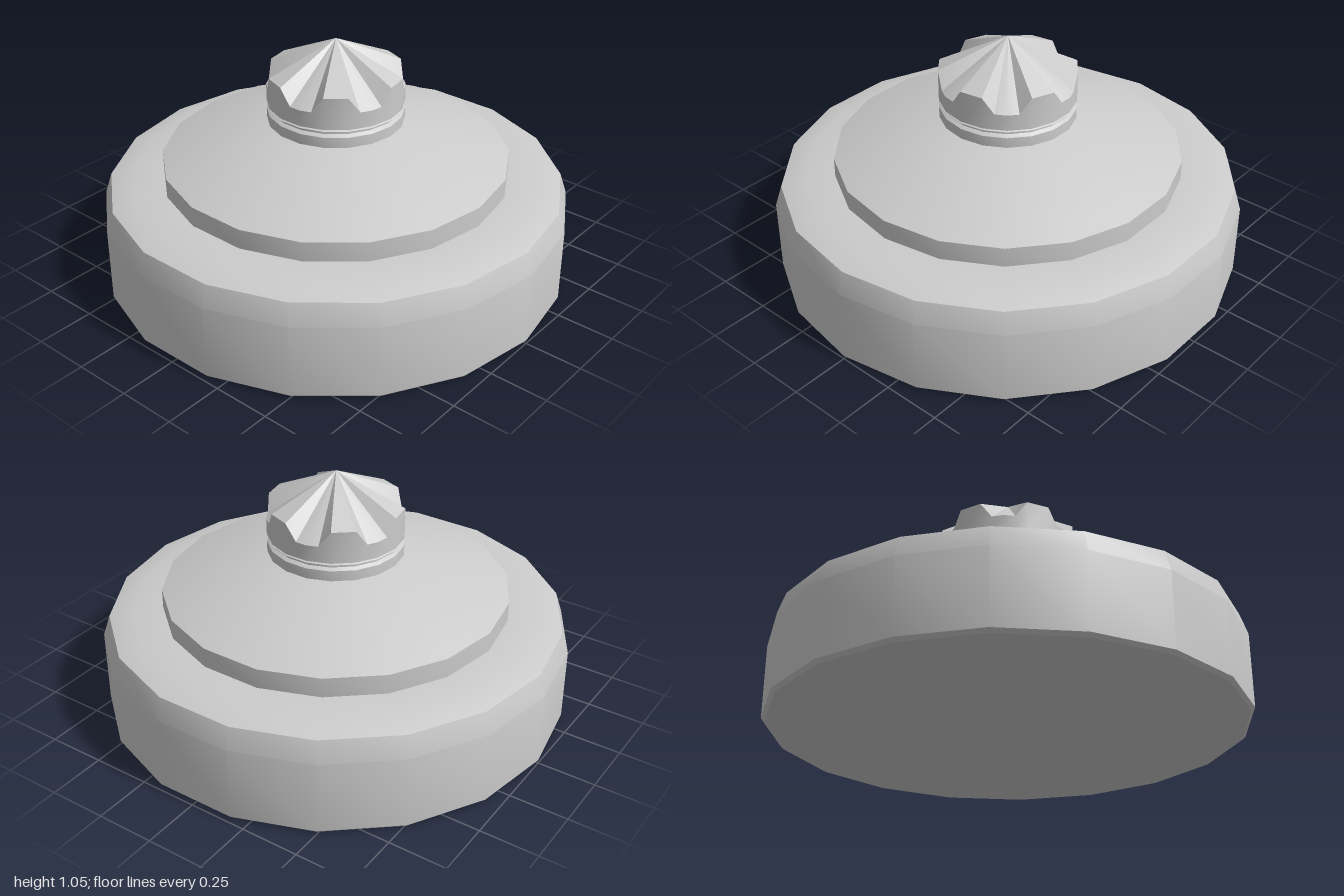
import * as THREE from 'three';
import { toCreasedNormals } from 'three/addons/utils/BufferGeometryUtils.js';

const SIDES = 18;
const CREASE = THREE.MathUtils.degToRad(25);
const material = new THREE.MeshStandardMaterial({ color: 0xcccccc });

function part(name, geometry) {
  const mesh = new THREE.Mesh(toCreasedNormals(geometry, CREASE), material);
  mesh.name = name;
  return mesh;
}

// 18-sided turned part with a corner on the x axis
function turned(name, profile) {
  const points = profile.map(([r, y]) => new THREE.Vector2(r, y));
  return part(name, new THREE.LatheGeometry(points, SIDES, Math.PI / 2));
}

// Knob head: a straight wall whose rim dips into six notches that run to the tip
function notchedHead(radius, bottom, low, high, tip) {
  const rim = [];
  for (let tooth = 0; tooth < 6; tooth++) {
    for (const [deg, y] of [[0, high], [10, low], [20, low], [30, low], [40, high]]) {
      const a = THREE.MathUtils.degToRad(tooth * 60 + deg);
      // points halfway along a side sit slightly further in
      const r = deg % 20 ? radius * Math.cos(Math.PI / SIDES) : radius;
      rim.push([r * Math.cos(a), y, r * Math.sin(a)]);
    }
  }
  const positions = [];
  rim.forEach((p, i) => {
    const q = rim[(i + 1) % rim.length];
    const pb = [p[0], bottom, p[2]];
    const qb = [q[0], bottom, q[2]];
    positions.push(...[0, tip, 0], ...q, ...p);
    positions.push(...qb, ...pb, ...p, ...qb, ...p, ...q);
    positions.push(...[0, bottom, 0], ...pb, ...qb);
  });
  const geometry = new THREE.BufferGeometry();
  geometry.setAttribute('position', new THREE.Float32BufferAttribute(positions, 3));
  return part('knobHead', geometry);
}

export function createModel() {
  const model = new THREE.Group();
  model.name = 'pressurePlateDisc';

  // Wide drum with a bevelled shoulder
  model.add(turned('base', [
    [0, 0], [0.985, 0], [1, 0.015], [1, 0.33], [0.97, 0.42], [0.87, 0.45], [0.7, 0.45],
  ]));

  // Short step and sloping cover
  model.add(turned('cover', [[0.74, 0.445], [0.74, 0.535], [0.29, 0.7], [0, 0.7]]));

  // Collar with a narrow groove under the knob
  model.add(turned('collar', [
    [0.29, 0.695], [0.29, 0.745], [0.275, 0.755], [0.275, 0.765], [0.29, 0.772],
    [0.275, 0.78], [0, 0.78],
  ]));

  model.add(notchedHead(0.29, 0.78, 0.85, 0.918, 1.055));
  return model;
}
